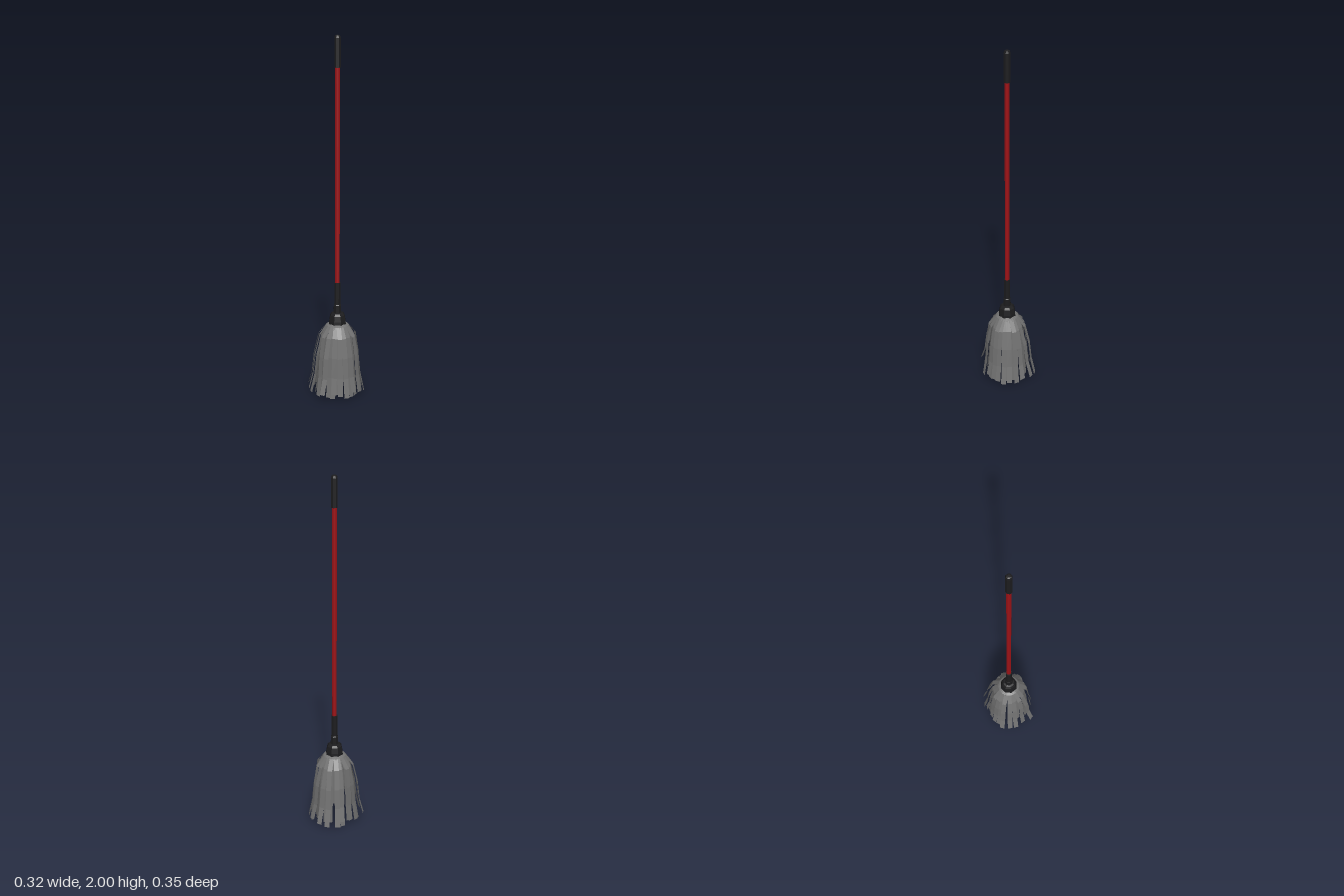
import * as THREE from 'three';

const AXIS_X = 0.008, AXIS_Z = -0.003;

const black = new THREE.MeshStandardMaterial({ color: 0x1c1c1e, flatShading: true });
const red = new THREE.MeshStandardMaterial({ color: 0x9c1216, flatShading: true });
const grey = new THREE.MeshStandardMaterial({ color: 0x727272, flatShading: true, side: THREE.DoubleSide });

// Eight-sided turned part from [radius, height] pairs, listed bottom to top
function turned(name, profile, material) {
  const points = profile.map(([r, y]) => new THREE.Vector2(r, y));
  const mesh = new THREE.Mesh(new THREE.LatheGeometry(points, 8), material);
  mesh.name = name;
  return mesh;
}

// Ribbon that leaves the hub, arches over and hangs down to its tip
function strand(angle, tipRadius, tipY, shoulder, sway) {
  const path = [
    [0.036, 0.415], [0.062, 0.4], [shoulder, 0.345],
    [THREE.MathUtils.lerp(shoulder, tipRadius, 0.42), 0.235],
    [THREE.MathUtils.lerp(shoulder, tipRadius, 0.62), 0.12],
    [tipRadius, tipY],
  ];
  const rows = path.length - 1;
  const geometry = new THREE.PlaneGeometry(1, 1, 1, rows);
  const pos = geometry.attributes.position;
  for (let i = 0; i < pos.count; i++) {
    const row = Math.floor(i / 2), t = row / rows;
    const width = THREE.MathUtils.lerp(0.022, 0.029, Math.min(1, t * 1.6));
    pos.setXYZ(i, pos.getX(i) * width + sway * t * t, path[row][1], path[row][0]);
  }
  geometry.rotateY(Math.PI / 2 - THREE.MathUtils.degToRad(angle));
  geometry.computeVertexNormals();
  const mesh = new THREE.Mesh(geometry, grey);
  mesh.name = 'strand';
  return mesh;
}

export function createModel() {
  const model = new THREE.Group();
  model.name = 'mop';
  const body = new THREE.Group();
  body.name = 'mopBody';
  body.position.set(AXIS_X, 0, AXIS_Z);
  model.add(body);

  // Handle and its end grip
  body.add(turned('pole', [[0, 0.6], [0.0135, 0.6], [0.0135, 1.86], [0, 1.86]], red));
  body.add(turned('grip', [
    [0.0135, 1.83], [0.0185, 1.83], [0.0185, 1.985], [0.0145, 1.997], [0.008, 2], [0, 2],
  ], black));

  // Socket around the pole and the cap that clamps the strands
  body.add(turned('socket', [
    [0.023, 0.46], [0.022, 0.515], [0.0185, 0.52], [0.0185, 0.645], [0.0135, 0.645],
  ], black));
  body.add(turned('hub', [
    [0, 0.405], [0.051, 0.405], [0.049, 0.425], [0.043, 0.457], [0.034, 0.469], [0.022, 0.472],
  ], black));

  const strands = new THREE.Group();
  strands.name = 'strands';
  body.add(strands);

  // Long outer strands: angle from +x towards +z, then tip radius
  const outer = [
    [-14.5, 0.151], [0, 0.142], [11, 0.145], [28, 0.143], [47, 0.147], [61, 0.138],
    [77, 0.13], [97, 0.174], [115, 0.148], [136, 0.16], [150, 0.162], [168, 0.168],
    [180, 0.143], [192, 0.145], [207, 0.136], [232, 0.141], [243, 0.155],
    [264.5, 0.17], [281, 0.169], [302, 0.16], [315, 0.147], [332, 0.148],
  ];
  outer.forEach(([angle, radius], i) =>
    strands.add(strand(angle, radius, 0.012 + 0.008 * (i % 4), 0.093 + 0.007 * (i % 3), 0)));

  // Shorter strands filling the gaps
  const FILL = 20;
  for (let i = 0; i < FILL; i++) {
    const angle = (i + 0.4) * 360 / FILL + 5 * Math.sin(i * 2.3);
    const radius = 0.115 + 0.012 * Math.sin(i * 1.7);
    strands.add(strand(angle, radius, 0.006 * (i % 4), 0.084 + 0.006 * (i % 2), 0.008 * Math.sin(i * 3.1)));
  }
  return model;
}
